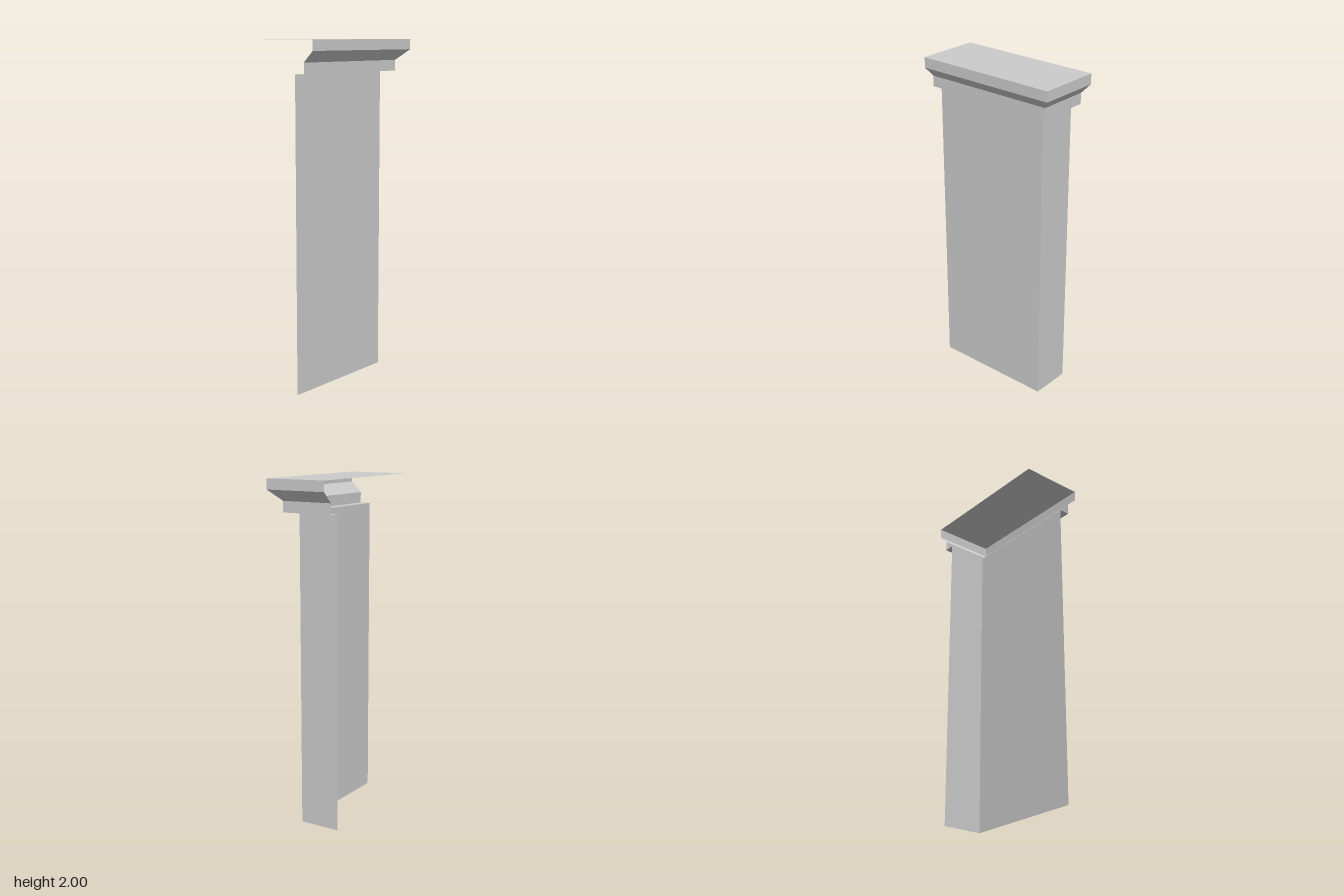
import * as THREE from 'three';

const LEFT = -0.187, FRONT = 0.436; // open ends of the corner
const WALL_X = 0.06, WALL_Z = -0.309; // the two wall planes

const material = new THREE.MeshStandardMaterial({
  color: 0xcccccc, flatShading: true, side: THREE.DoubleSide,
});

// Mitred L-shaped path, pushed out from the walls by d at height y
const section = ([d, y]) => [
  [WALL_X + d, y, FRONT],
  [WALL_X + d, y, WALL_Z - d],
  [LEFT, y, WALL_Z - d],
];

// Sheet that joins two L-shaped sections, with a sharp mitre at the corner
function band(name, lower, upper) {
  const a = section(lower), b = section(upper);
  const positions = [];
  for (let i = 0; i < 2; i++) {
    positions.push(...a[i], ...a[i + 1], ...b[i + 1], ...a[i], ...b[i + 1], ...b[i]);
  }
  const geometry = new THREE.BufferGeometry();
  geometry.setAttribute('position', new THREE.Float32BufferAttribute(positions, 3));
  geometry.computeVertexNormals();
  const mesh = new THREE.Mesh(geometry, material);
  mesh.name = name;
  return mesh;
}

export function createModel() {
  const group = new THREE.Group();
  group.name = 'cornerWallWithCornice';

  // Profile as [projection, height], from the floor to the top edge
  const profile = [[0, 0], [0, 1.815], [0.064, 1.815], [0.064, 1.878], [0.127, 1.94], [0.127, 2]];
  const names = ['cornerWalls', 'corniceSoffit', 'lowerFascia', 'slopedMoulding', 'upperFascia'];
  names.forEach((name, i) => group.add(band(name, profile[i], profile[i + 1])));

  // Flat top sheet over the whole corner
  const right = WALL_X + 0.127, back = WALL_Z - 0.127;
  const top = new THREE.Mesh(new THREE.PlaneGeometry(right - LEFT, FRONT - back), material);
  top.name = 'topSheet';
  top.rotation.x = -Math.PI / 2;
  top.position.set((LEFT + right) / 2, 2, (FRONT + back) / 2);
  group.add(top);

  return group;
}
